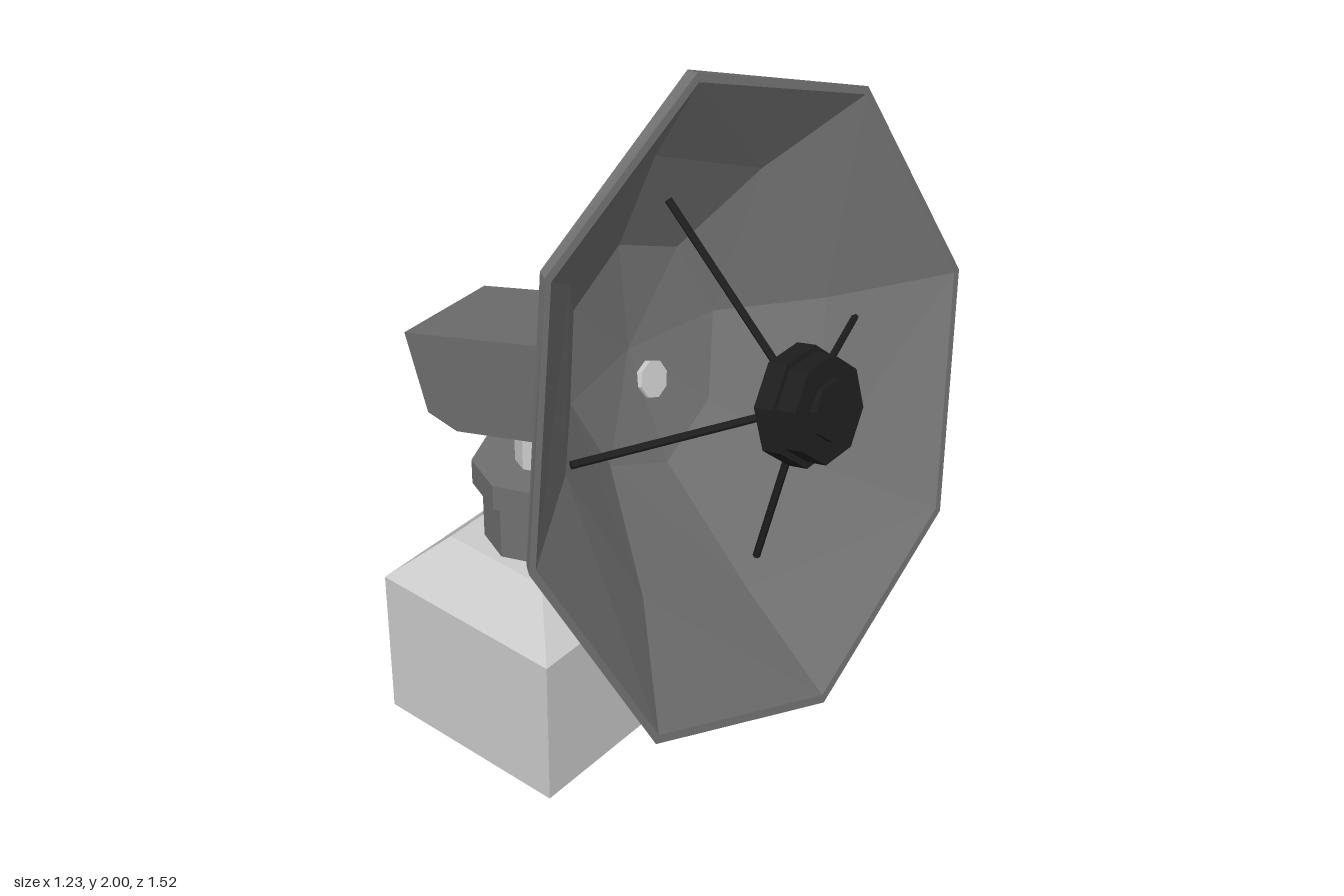
import * as THREE from 'three';

const mat = (color) => new THREE.MeshStandardMaterial({ color, flatShading: true });

export function createModel() {
  const root = new THREE.Group();
  const light = mat(0xcccccc), mid = mat(0x707070), dark = mat(0x1e1e1e);

  const add = (parent, name, geo, material, x = 0, y = 0, z = 0) => {
    const m = new THREE.Mesh(geo, material);
    m.name = name;
    m.position.set(x, y, z);
    parent.add(m);
    return m;
  };
  const group = (name, x, y, z, rotZ) => {
    const g = new THREE.Group();
    g.name = name;
    g.position.set(x, y, z);
    g.rotation.z = rotZ;
    root.add(g);
    return g;
  };
  const prism = (r, y0, y1, sides = 8, rTop = r) =>
    new THREE.CylinderGeometry(rTop, r, y1 - y0, sides).translate(0, (y0 + y1) / 2, 0);

  // Square base with a sloped top
  const bx = -0.313, bz = -0.04;
  add(root, 'baseBlock', new THREE.BoxGeometry(0.55, 0.43, 0.55), light, bx, 0.215, bz);
  add(root, 'baseSlope', prism(0.275 * Math.SQRT2, 0.43, 0.55, 4, 0.153 * Math.SQRT2).rotateY(Math.PI / 4),
    light, bx, 0, bz);

  // Swivel neck, collar and post
  add(root, 'neck', prism(0.132, 0.55, 0.71), mid, bx, 0, bz);
  add(root, 'collar', prism(0.16, 0.71, 0.78), mid, bx, 0, bz - 0.005);
  add(root, 'post', prism(0.06, 0.78, 1.0), light, -0.303, 0, bz - 0.005);

  // Tilted motor housing: origin at the centre of its dish end, x along the axis
  const arm = group('housing', -0.045, 1.137, -0.047, THREE.MathUtils.degToRad(18));
  const side = new THREE.Shape([[0, -0.129], [0, 0.129], [-0.55, 0.129], [-0.55, -0.086], [-0.463, -0.129]]
    .map(([x, y]) => new THREE.Vector2(x, y)));
  add(arm, 'housingBody', new THREE.ExtrudeGeometry(side, { depth: 0.283, bevelEnabled: false })
    .translate(0, 0, -0.1415), mid);

  // Raised frame on the housing's far end
  const rect = (Type, w, h) => new Type([[-w, -h], [w, -h], [w, h], [-w, h]].map(([x, y]) => new THREE.Vector2(x, y)));
  const frame = rect(THREE.Shape, 0.123, 0.091);
  frame.holes.push(rect(THREE.Path, 0.098, 0.066));
  add(arm, 'endFrame', new THREE.ExtrudeGeometry(frame, { depth: 0.025, bevelEnabled: false })
    .rotateY(-Math.PI / 2), mid, -0.548, 0.017, 0);

  // Joint between housing and dish
  add(arm, 'dishJoint', prism(0.06, -0.01, 0.055).rotateZ(-Math.PI / 2), light, 0, 0.005, 0.012);
  add(arm, 'dishJointTip', prism(0.045, 0.05, 0.12).rotateZ(-Math.PI / 2), light, 0, 0.005, 0.012);

  // Dish: local y is the facing axis, local -x points up the rim, origin at rim centre
  const dish = group('dish', 0.405, 1.268, 0, THREE.MathUtils.degToRad(-74.4));
  const profile = [[0, -0.4], [0.28, -0.355], [0.55, -0.19], [0.76, -0.025], [0.76, 0],
    [0.74, 0], [0.53, -0.165], [0.27, -0.33], [0, -0.375]].map(([r, a]) => new THREE.Vector2(r, a));
  const shell = new THREE.LatheGeometry(profile, 8);
  const p = shell.attributes.position;
  for (let i = 0; i < p.count; i++) {
    // Deeper rings sit higher, and the middle rings are a little narrower
    const depth = Math.max(0, -p.getY(i) / 0.4);
    p.setX(i, p.getX(i) - 0.1 * depth);
    p.setZ(i, p.getZ(i) * (1 - 0.14 * Math.sin(Math.PI * depth)));
  }
  shell.computeVertexNormals();
  add(dish, 'dishShell', shell, mid);

  // Stepped feed horn in front of the dish
  const feed = new THREE.Group();
  feed.name = 'feed';
  feed.position.set(0.009, 0, -0.048);
  feed.rotation.y = Math.PI / 8;
  dish.add(feed);
  [[0.07, 0.02, 0.05], [0.135, 0.04, 0.09], [0.12, 0.09, 0.14], [0.068, 0.14, 0.155]]
    .forEach(([r, a, b], i) => add(feed, 'feedStep' + (i + 1), prism(r, a, b), dark));

  // Four struts from the dish surface to the feed
  const hub = new THREE.Vector3(0.009, 0.07, -0.048);
  [[-0.465, -0.17, -0.016], [0.42, -0.15, -0.037], [-0.05, -0.17, 0.434], [0.026, -0.13, -0.508]].forEach((e, i) => {
    const foot = new THREE.Vector3(...e);
    const dir = hub.clone().sub(foot);
    dir.setLength(dir.length() - 0.1);
    const strut = add(dish, 'strut' + (i + 1), prism(0.009, 0, dir.length(), 6), dark, ...e);
    strut.quaternion.setFromUnitVectors(new THREE.Vector3(0, 1, 0), dir.normalize());
  });

  return root;
}
